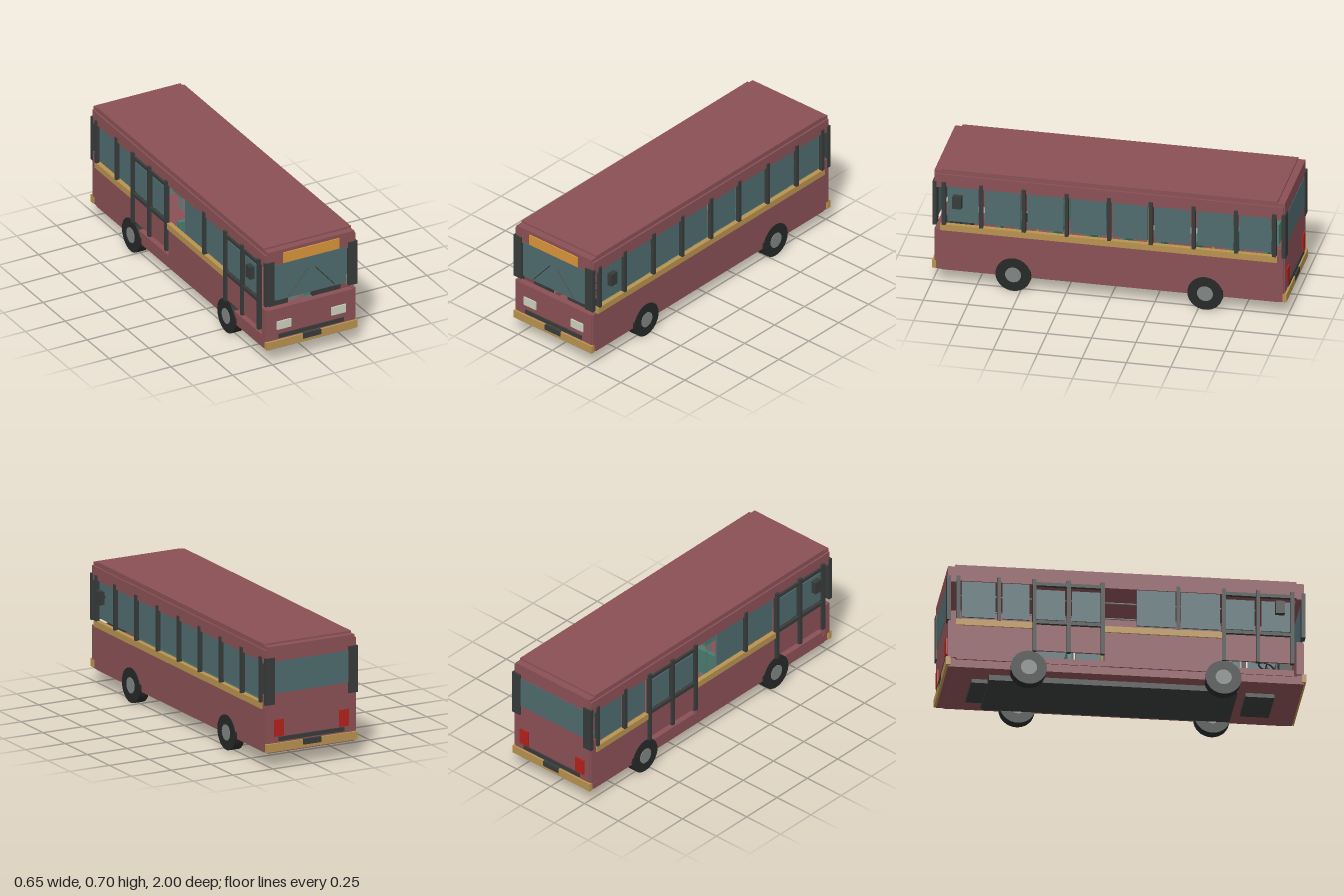
import * as THREE from 'three';

const paint = (color) => new THREE.MeshStandardMaterial({ color });

export function createModel() {
  const bus = new THREE.Group();
  bus.name = 'bus';
  const body = paint(0x8a5055), glass = paint(0x4f6b6e), gold = paint(0xb8924f), dark = paint(0x373b3a);
  const tyre = paint(0x262928), hub = paint(0x7f8583), teal = paint(0x4a7b6f), cream = paint(0xcdd1bd);
  const orange = paint(0xd8943a), red = paint(0xb3211a), yellow = paint(0xc99a35), grey = paint(0x777a78);

  const add = (name, geometry, material) => {
    const mesh = new THREE.Mesh(geometry, material);
    mesh.name = name;
    bus.add(mesh);
    return mesh;
  };
  // box given by its limits on each axis
  const box = (name, mat, x0, x1, y0, y1, z0, z1) => {
    const m = add(name, new THREE.BoxGeometry(Math.abs(x1 - x0), y1 - y0, z1 - z0), mat);
    m.position.set((x0 + x1) / 2, (y0 + y1) / 2, (z0 + z1) / 2);
    return m;
  };
  // round bar between two points
  const rod = (name, mat, a, b, r) => {
    const p = new THREE.Vector3(...a), q = new THREE.Vector3(...b);
    const m = add(name, new THREE.CylinderGeometry(r, r, p.distanceTo(q), 8), mat);
    m.position.copy(p).add(q).multiplyScalar(0.5);
    m.quaternion.setFromUnitVectors(new THREE.Vector3(0, 1, 0), q.sub(p).normalize());
    return m;
  };

  // floor, chassis and roof
  box('floor', body, -0.275, 0.275, 0.085, 0.132, -0.95, 0.95);
  box('chassis', dark, -0.195, 0.195, 0.053, 0.086, -0.75, 0.63);
  box('frontUnderTray', dark, -0.13, 0.13, 0.062, 0.086, 0.68, 0.84);
  box('rearUnderTray', dark, -0.13, 0.13, 0.062, 0.086, -0.84, -0.75);
  box('roof', body, -0.275, 0.275, 0.672, 0.705, -0.945, 0.945);

  // side walls, belt lines and roof rails; the right side leaves room for two doors
  const doors = [[-0.52, -0.12], [0.53, 0.93]];
  const wall = (s, z0, z1) => {
    box('sideWall', body, s * 0.255, s * 0.284, 0.13, 0.337, z0, z1);
    box('beltLine', gold, s * 0.265, s * 0.292, 0.335, 0.372, z0, z1);
  };
  wall(1, -0.945, 0.95);
  wall(-1, -0.945, -0.52);
  wall(-1, -0.12, 0.53);
  for (const s of [-1, 1]) box('roofRail', body, s * 0.25, s * 0.285, 0.605, 0.677, -0.95, 0.95);

  // side windows and pillars
  const pillarZ = [0.93, 0.72, 0.48, 0.24, 0, -0.235, -0.475, -0.715, -0.93];
  const pillar = (s, z) => box('windowPillar', dark, s * 0.272, s * 0.293, 0.37, 0.632, z - 0.011, z + 0.011);
  const pane = (s, z0, z1) => box('sideWindow', glass, s * 0.268, s * 0.278, 0.39, 0.608, z0, z1);
  pillarZ.forEach((z, i) => {
    pillar(1, z);
    if (i) pane(1, z + 0.02, pillarZ[i - 1] - 0.02);
  });
  [-0.93, -0.705, 0.29].forEach((z) => pillar(-1, z));
  [[-0.91, -0.725], [-0.685, -0.535], [0.06, 0.275], [0.305, 0.52]].forEach(([a, b]) => pane(-1, a, b));

  // two double doors on the right side
  for (const [z0, z1] of doors) {
    const mid = (z0 + z1) / 2;
    for (const z of [z0 + 0.011, mid, z1 - 0.011]) {
      box('doorPost', dark, -0.276, -0.3, 0.198, 0.632, z - 0.011, z + 0.011);
    }
    for (const y of [0.365, 0.595]) box('doorBar', dark, -0.276, -0.297, y, y + 0.02, z0, z1);
    for (const [a, b] of [[z0, mid], [mid, z1]]) {
      box('doorGlass', glass, -0.276, -0.284, 0.395, 0.575, a + 0.02, b - 0.02);
      box('doorPanel', body, -0.274, -0.285, 0.205, 0.362, a + 0.012, b - 0.012);
    }
    box('doorStep', body, -0.2, -0.28, 0.13, 0.165, z0, z1);
  }

  // front and rear ends share the same layout
  for (const f of [1, -1]) {
    const end = (name, mat, x0, x1, y0, y1, d0, d1) =>
      box(name, mat, x0, x1, y0, y1, Math.min(f * d0, f * d1), Math.max(f * d0, f * d1));
    const sill = f > 0 ? 0.333 : 0.425;
    end('endPanel', body, -0.273, 0.273, 0.087, sill, 0.948, 0.986);
    end('endHeader', body, -0.273, 0.273, 0.597, 0.695, 0.945, 0.986);
    end('bumper', gold, -0.285, 0.285, 0.095, 0.142, 0.975, 0.998);
    end('grilleBar', dark, -0.205, 0.205, 0.152, 0.175, 0.98, 0.994);
    end('numberPlate', dark, -0.057, 0.057, 0.112, 0.143, 0.985, 1);
    for (const s of [-1, 1]) {
      end('cornerPanel', body, s * 0.265, s * 0.284, 0.14, f > 0 ? 0.337 : 0.42, 0.945, 0.982);
      end('cornerHeader', body, s * 0.265, s * 0.284, 0.597, 0.677, 0.945, 0.982);
      end('cornerPillar', dark, s * 0.233, s * 0.29, 0.365, 0.632, 0.972, 0.994);
    }
  }
  box('windshield', glass, -0.225, 0.223, 0.387, 0.608, 0.975, 0.988);
  box('rearWindow', glass, -0.235, 0.235, 0.425, 0.608, -0.988, -0.975);
  box('destinationSign', orange, -0.176, 0.176, 0.612, 0.675, 0.98, 0.993);
  for (const s of [-1, 1]) {
    box('headlight', cream, s * 0.127, s * 0.217, 0.205, 0.255, 0.98, 0.994);
    box('tailLight', red, s * 0.175, s * 0.235, 0.18, 0.275, -0.994, -0.98);
    rod('wiper', dark, [s * 0.148, 0.396, 0.991], [s * 0.024, 0.538, 0.991], 0.0025);
    box('mirror', dark, s * 0.293, s * 0.323, 0.49, 0.565, 0.825, 0.875);
    box('mirrorArm', dark, s * 0.275, s * 0.295, 0.52, 0.535, 0.842, 0.858);
  }

  // wheels
  for (const s of [-1, 1]) for (const z of [-0.54, 0.54]) {
    const tyreMesh = add('tyre', new THREE.CylinderGeometry(0.1, 0.1, 0.061, 32), tyre);
    const hubMesh = add('hub', new THREE.CylinderGeometry(0.045, 0.045, 0.067, 24), hub);
    for (const m of [tyreMesh, hubMesh]) {
      m.rotation.z = Math.PI / 2;
      m.position.set(s * 0.2565, 0.1, z);
    }
  }

  // passenger seats in pairs, clear of the doors
  const seat = (x, z) => {
    box('seatBase', grey, x - 0.03, x + 0.03, 0.13, 0.225, z - 0.03, z + 0.03);
    box('seatCushion', teal, x - 0.048, x + 0.048, 0.225, 0.255, z - 0.05, z + 0.05);
    box('seatBack', teal, x - 0.048, x + 0.048, 0.25, 0.39, z - 0.065, z - 0.042);
  };
  for (let z = -0.82; z < 0.6; z += 0.2) {
    for (const x of [0.1, 0.2]) seat(x, z);
    if (!doors.some(([a, b]) => z > a - 0.06 && z < b + 0.06)) for (const x of [-0.1, -0.2]) seat(x, z);
  }

  // handrails and grab poles
  for (const s of [-1, 1]) rod('handrail', grey, [s * 0.1, 0.6, -0.9], [s * 0.1, 0.6, 0.75], 0.005);
  for (const z of [-0.49, -0.12, 0.5]) rod('grabPole', yellow, [-0.168, 0.13, z], [-0.168, 0.672, z], 0.005);

  // driver's place
  seat(0.145, 0.7);
  box('dashboard', dark, 0.06, 0.21, 0.3, 0.362, 0.87, 0.94);
  box('fareBox', dark, -0.195, -0.112, 0.13, 0.378, 0.86, 0.93);
  rod('steeringColumn', dark, [0.145, 0.33, 0.87], [0.145, 0.375, 0.83], 0.006);
  const wheel = add('steeringWheel', new THREE.TorusGeometry(0.043, 0.005, 8, 24), dark);
  wheel.position.set(0.145, 0.378, 0.827);
  wheel.rotation.x = -Math.PI / 2 + 0.35;
  rod('steeringSpoke', dark, [0.105, 0.378, 0.827], [0.185, 0.378, 0.827], 0.004);

  return bus;
}
